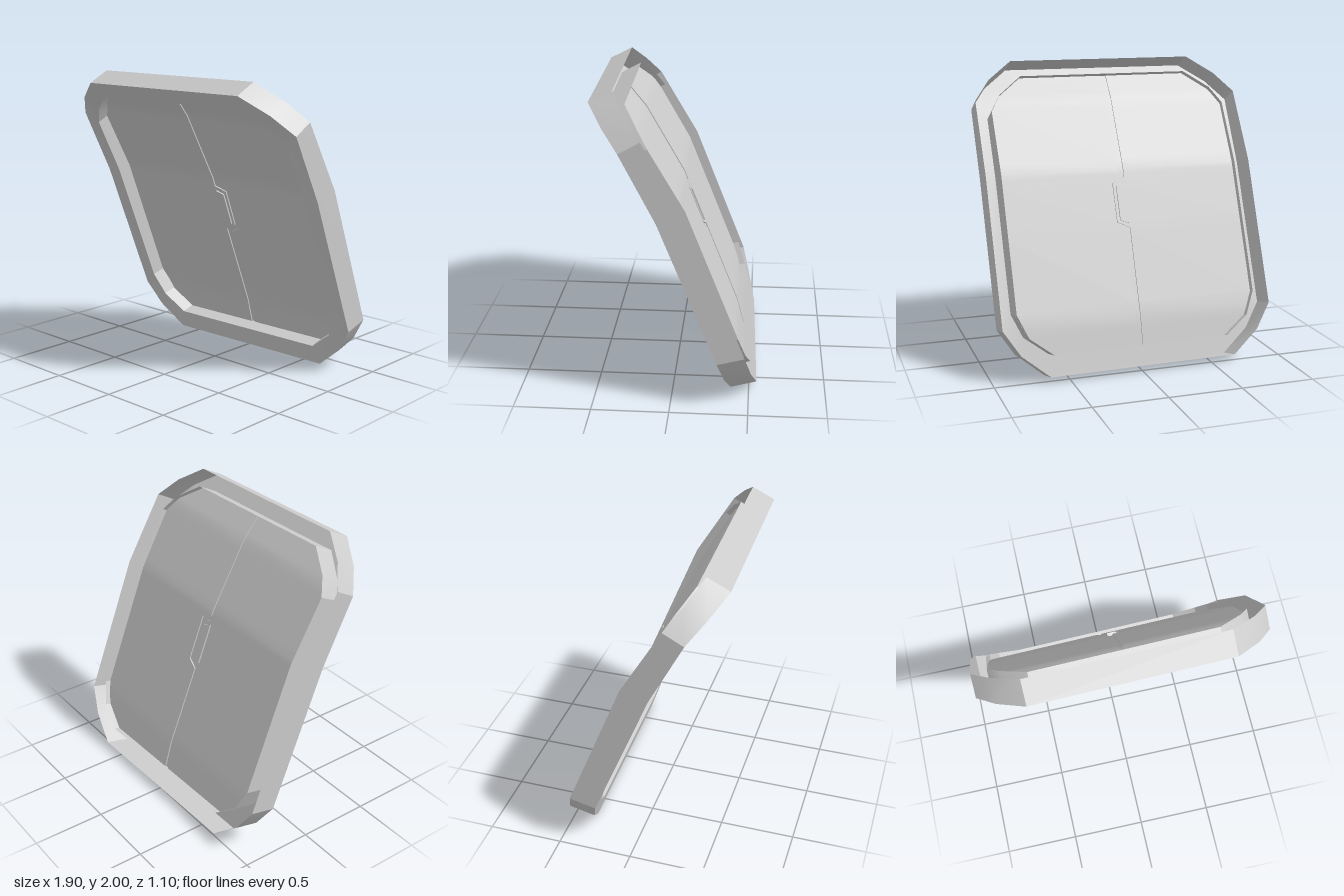
import * as THREE from 'three';
import { toCreasedNormals } from 'three/addons/utils/BufferGeometryUtils.js';

const material = new THREE.MeshStandardMaterial({ color: 0xcccccc, side: THREE.DoubleSide });

// Side profile of the bent hatch: [v, front y, front z, back y, back z]
const PROFILE = [
  [0, 0, -0.365, 0.045, -0.535],
  [0.315, 0.315, -0.275, 0.36, -0.45],
  [1.25, 1.25, 0.10, 1.30, -0.08],
  [1.685, 1.685, 0.325, 1.76, 0.19],
  [1.925, 1.925, 0.53, 2.0, 0.38],
];

// Piecewise linear lookup; returns the interpolated row
function lookup(table, v) {
  let i = 0;
  while (i < table.length - 2 && v > table[i + 1][0]) i++;
  const a = table[i], b = table[i + 1];
  const t = THREE.MathUtils.clamp((v - a[0]) / (b[0] - a[0]), 0, 1);
  return a.map((n, k) => n + (b[k] - n) * t);
}

// u = across, v = up along the bend, d = depth (0 front face, 1 back face)
function bend(u, v, d) {
  const [, fy, fz, by, bz] = lookup(PROFILE, v);
  return [u, fy + (by - fy) * d, fz + (bz - fz) * d];
}

// Skin a list of cross-sections: an open channel run round a ring, or a capped solid
function loft(name, sections, ring) {
  const n = sections.length, m = sections[0].length, index = [];
  for (let i = 0; i < (ring ? n : n - 1); i++) {
    for (let j = 0; j < (ring ? m - 1 : m); j++) {
      const i2 = (i + 1) % n, j2 = (j + 1) % m;
      const a = i * m + j, b = i2 * m + j, c = i2 * m + j2, d = i * m + j2;
      index.push(a, b, c, a, c, d);
    }
  }
  if (!ring) {
    const e = (n - 1) * m;
    for (let j = 1; j < m - 1; j++) index.push(0, j, j + 1, e, e + j + 1, e + j);
  }
  const geo = new THREE.BufferGeometry();
  geo.setAttribute('position', new THREE.Float32BufferAttribute(sections.flat(2), 3));
  geo.setIndex(index);
  const mesh = new THREE.Mesh(toCreasedNormals(geo, 0.35), material);
  mesh.name = name;
  return mesh;
}

// A slab bounded by right(v) and left(v), between two depths
function slab(name, rows, right, left, d0, d1) {
  return loft(name, rows.map((v) => {
    const r = right(v), l = left(v);
    return [bend(l, v, d0), bend(r, v, d0), bend(r, v, d1), bend(l, v, d1)];
  }), false);
}

// Half outlines from bottom to top: [u, v]
const OUTER = [[0.65, 0], [0.835, 0.15], [0.943, 0.315], [0.943, 1.25], [0.94, 1.685], [0.825, 1.81], [0.65, 1.925]];
const INNER = [[0.61, 0.13], [0.77, 0.25], [0.838, 0.40], [0.838, 1.25], [0.838, 1.62], [0.765, 1.72], [0.60, 1.83]];
const mirror = (half) => [...half, ...half.slice().reverse().map(([u, v]) => [-u, v])];

// Half width of the doors, filling the frame opening: [v, u]
const WIDTH = INNER.map(([u, v]) => [v, u]);
// Meeting edges of the two doors, with the latch tab and its notch: [v, u]
const TAB = [[0.13, -0.012], [0.87, -0.020], [0.91, 0.066], [1.16, 0.066], [1.19, -0.022], [1.83, -0.026]];
const NOTCH = [[0.13, 0.020], [0.85, 0.012], [0.89, 0.09], [1.18, 0.09], [1.215, 0.012], [1.83, 0.006]];
const GRIP = [[0.90, -0.012], [0.92, 0.046], [1.14, 0.046], [1.16, -0.012]];

export function createModel() {
  const group = new THREE.Group();
  group.name = 'hatch';

  // Frame: a channel of outer wall, front face and inner wall, open at the back
  const inner = mirror(INNER);
  group.add(loft('frame', mirror(OUTER).map((o, i) => [
    bend(...o, 1), bend(...o, 0), bend(...inner[i], 0), bend(...inner[i], 0.95),
  ]), true));

  // Door leaves, sharing one set of rows
  const rows = [...new Set([...WIDTH, ...TAB, ...NOTCH, ...PROFILE].map((p) => p[0]))]
    .concat(1.31).filter((v) => v >= 0.13 && v <= 1.83).sort((a, b) => a - b);
  const width = (v) => lookup(WIDTH, v)[1];
  const tab = (v) => lookup(TAB, v)[1];
  const notch = (v) => lookup(NOTCH, v)[1];
  group.add(slab('rightDoor', rows, (v) => -width(v), tab, 0.56, 0.72));
  group.add(slab('leftDoor', rows, notch, width, 0.56, 0.72));

  // Floor of the seam between the doors
  group.add(slab('seamCore', rows, (v) => tab(v) - 0.02, (v) => notch(v) + 0.02, 0.61, 0.67));

  // Latch plate on the tab, showing on both faces
  group.add(slab('latchPlate', GRIP.map((p) => p[0]), () => -0.016,
    (v) => lookup(GRIP, v)[1], 0.50, 0.78));

  group.rotation.y = 0.024;
  return group;
}
